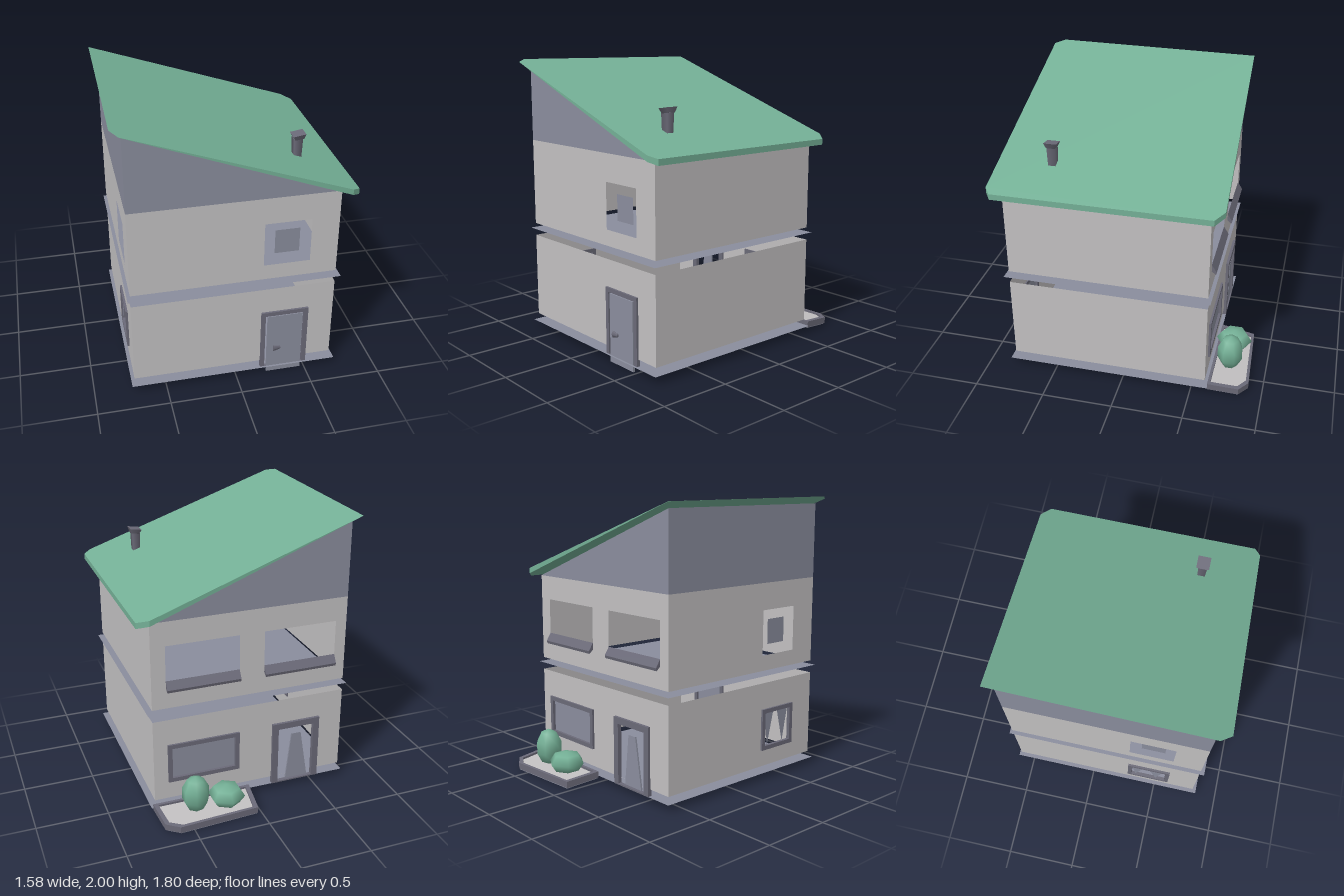
import * as THREE from 'three';

const mat = (name, color) => {
  const m = new THREE.MeshStandardMaterial({ color, side: THREE.DoubleSide });
  m.name = name;
  return m;
};

export function createModel() {
  const wallMat = mat('pale plaster', 0xc2c0c1);
  const slate = mat('slate', 0x8a8d9d);
  const trim = mat('dark trim', 0x6b6a78);
  const green = mat('green', 0x74b096);
  const house = new THREE.Group();
  house.name = 'house';

  const X0 = -0.72, X1 = 0.69, Z0 = -0.60, Z1 = 0.81;

  const add = (name, geo, material, x = 0, y = 0, z = 0, parent = house) => {
    const m = new THREE.Mesh(geo, material);
    m.name = name;
    m.position.set(x, y, z);
    parent.add(m);
    return m;
  };
  const poly = (pts) => new THREE.Shape(pts.map(([x, y]) => new THREE.Vector2(x, y)));
  const rect = (a, b, c, d) => poly([[a, c], [b, c], [b, d], [a, d]]);
  const extrude = (shape, depth) =>
    new THREE.ExtrudeGeometry(shape, { depth, bevelEnabled: false });

  // Each side is a flat group: u runs along the wall, local z points out or in
  const sides = {};
  const side = (name, x, z, turn) => {
    const g = new THREE.Group();
    g.name = name;
    g.position.set(x, 0, z);
    g.rotation.y = turn;
    house.add(g);
    sides[name] = g;
  };
  side('frontSide', 0, Z1, 0);
  side('backSide', 0, Z0, 0);            // outside is local -z
  side('highSide', X0, 0, -Math.PI / 2); // u = z, outside is local +z
  side('lowSide', X1, 0, -Math.PI / 2);  // u = z, outside is local -z
  const { frontSide, backSide, highSide, lowSide } = sides;

  const wall = (parent, name, a, b, c, d, holes = []) => {
    const s = rect(a, b, c, d);
    holes.forEach((h) => s.holes.push(rect(...h)));
    add(name, new THREE.ShapeGeometry(s), wallMat, 0, 0, 0, parent);
  };
  const frame = (parent, name, [a, b, c, d], w, z0, depth, base = w) => {
    const s = rect(a, b, c, d);
    s.holes.push(rect(a + w, b - w, c + base, d - w));
    add(name, extrude(s, depth), trim, 0, 0, z0, parent);
  };

  // Openings as [from, to, bottom, top]
  const upFront = [0.18, 0.50, 0.91, 1.23];
  const upHigh = [0.28, 0.60, 0.91, 1.23];
  const upBack = [[0.07, 0.59, 0.95, 1.25], [-0.64, -0.11, 0.95, 1.25]];
  const lowHigh = [0.28, 0.60, 0.22, 0.52];
  const lowBack = [0.07, 0.59, 0.23, 0.52];

  // Lower storey
  wall(frontSide, 'lowerFrontWall', X0, X1, 0.10, 0.71, [[0.18, 0.50, 0.101, 0.51]]);
  wall(backSide, 'lowerBackWall', X0, X1, 0.10, 0.71, [lowBack, [-0.53, -0.19, 0.101, 0.52]]);
  wall(highSide, 'lowerHighWall', Z0, Z1, 0.10, 0.71, [lowHigh]);
  wall(lowSide, 'lowerLowWall', Z0, Z1, 0.10, 0.71);

  // Upper storey
  wall(frontSide, 'upperFrontWall', X0, X1, 0.80, 1.42, [upFront]);
  wall(backSide, 'upperBackWall', X0, X1, 0.80, 1.42, upBack);
  wall(highSide, 'upperHighWall', Z0, Z1, 0.80, 1.42, [upHigh]);
  wall(lowSide, 'upperLowWall', Z0, Z1, 0.80, 1.42);

  // Slate gable walls under the roof
  const gable = new THREE.ShapeGeometry(poly([[X0, 1.42], [X1, 1.42], [X0, 1.95]]));
  add('frontGable', gable, slate, 0, 0, 0, frontSide);
  add('backGable', gable, slate, 0, 0, 0, backSide);
  add('highGable', new THREE.ShapeGeometry(rect(Z0, Z1, 1.42, 1.95)), slate, 0, 0, 0, highSide);

  // Floor slabs: shallow four-sided pyramids pointing down
  [['groundSlab', 0.005], ['middleSlab', 0.718]].forEach(([name, y]) => {
    const g = new THREE.ConeGeometry(0.73 * Math.SQRT2, 0.048, 4, 1);
    g.rotateY(Math.PI / 4);
    g.rotateX(Math.PI);
    add(name, g, slate, -0.01, y + 0.024, 0.11);
  });

  // Slanted roof: plan outline thickened, then both faces tilted
  const roof = extrude(poly([[-0.77, -0.65], [0.71, -0.69], [0.785, -0.63], [0.785, 0.86],
    [0.73, 0.90], [-0.74, 0.89], [-0.79, 0.82]]), 1);
  roof.rotateX(Math.PI / 2);
  const rp = roof.attributes.position;
  for (let i = 0; i < rp.count; i++) {
    const x = rp.getX(i), top = rp.getY(i) > -0.5;
    rp.setY(i, 2 - (top ? 0.348 : 0.374) * (x + 0.79));
  }
  roof.computeVertexNormals();
  add('roof', roof, green);

  // Chimney with flared cap
  const stack = new THREE.CylinderGeometry(0.042, 0.036, 0.15, 4).rotateY(Math.PI / 4);
  add('chimneyStack', stack, trim, 0.463, 1.61, 0.52);
  const cap = new THREE.CylinderGeometry(0.062, 0.042, 0.035, 4).rotateY(Math.PI / 4);
  add('chimneyCap', cap, trim, 0.469, 1.70, 0.52).rotation.z = 0.15;

  // Small glass panes in the square upper windows
  const pane = new THREE.PlaneGeometry(0.17, 0.178);
  add('frontPane', pane, slate, 0.345, 1.067, -0.03, frontSide);
  add('highPane', pane, slate, 0.445, 1.067, -0.03, highSide);

  // Sloping sills below the wide upper windows
  upBack.forEach(([a, b]) => {
    const g = extrude(poly([[0, 1.0], [0.01, 0.96], [-0.03, 0.925], [-0.035, 0.945]]), b - a);
    g.rotateY(-Math.PI / 2);
    const sill = add('backSill', g, trim, b, 0, 0, backSide);
    // profile runs along z, extrusion runs along -x
    sill.scale.z = 1;
  });

  // Lower windows
  frame(backSide, 'lowerBackFrame', lowBack, 0.03, -0.015, 0.025);
  add('lowerBackPane', new THREE.PlaneGeometry(0.46, 0.23), slate, 0.33, 0.375, 0.005, backSide);
  frame(highSide, 'lowerHighFrame', lowHigh, 0.03, -0.01, 0.025);
  const shards = [[[0.31, 0.49], [0.40, 0.49], [0.34, 0.25]], [[0.44, 0.49], [0.55, 0.49], [0.50, 0.25]]];
  shards.forEach((s) =>
    add('lowerHighShard', new THREE.ShapeGeometry(poly(s)), slate, 0, 0, 0.005, highSide));

  // Front door
  frame(frontSide, 'frontDoorFrame', [0.175, 0.51, 0.05, 0.52], 0.03, -0.01, 0.025, 0.004);
  add('frontDoor', new THREE.BoxGeometry(0.25, 0.48, 0.015), slate, 0.345, 0.245, 0.008, frontSide);
  const knob = new THREE.CylinderGeometry(0.012, 0.026, 0.05, 5).rotateZ(-Math.PI / 2);
  knob.scale(1, 1, 0.6);
  add('frontDoorKnob', knob, trim, 0.29, 0.213, 0.022, frontSide);

  // Back doorway with a tapering panel
  frame(backSide, 'backDoorFrame', [-0.54, -0.18, 0.05, 0.53], 0.045, -0.02, 0.03, 0.01);
  add('backDoor', extrude(poly([[-0.46, 0.07], [-0.29, 0.07], [-0.33, 0.43], [-0.40, 0.43]]), 0.012),
    slate, 0, 0, -0.012, backSide);

  // Planter: raised rim around a paler bed, sloping down to the rear
  const planter = (scale) => [[0, -0.62], [0.03, -0.87], [0.60, -0.90], [0.69, -0.84], [0.71, -0.62]]
    .map(([x, z]) => [0.355 + (x - 0.355) * scale, -0.75 + (z + 0.75) * (scale - (1 - scale) * 0.6)]);
  const tilt = (g, top, bottom) => {
    g.rotateX(Math.PI / 2);
    const p = g.attributes.position;
    for (let i = 0; i < p.count; i++) {
      const drop = 0.10 * (-0.62 - p.getZ(i));
      p.setY(i, (p.getY(i) > -0.5 ? top : bottom) - drop);
    }
    g.computeVertexNormals();
    return g;
  };
  const rim = poly(planter(1));
  rim.holes.push(poly(planter(0.91)));
  add('planterRim', tilt(extrude(rim, 1), 0.085, 0.04), trim);
  add('planterBase', tilt(extrude(poly(planter(0.98)), 1), 0.045, 0.033), slate);
  add('planterBed', tilt(extrude(poly(planter(0.92)), 1), 0.07, 0.05), wallMat);

  // Bushes
  const tall = new THREE.SphereGeometry(1, 7, 5).scale(0.10, 0.135, 0.095);
  add('tallBush', tall, green, 0.44, 0.188, -0.74);
  const low = new THREE.SphereGeometry(1, 6, 4).scale(0.13, 0.08, 0.13);
  low.rotateY(Math.PI / 6);
  add('lowBush', low, green, 0.215, 0.13, -0.74);

  return house;
}
